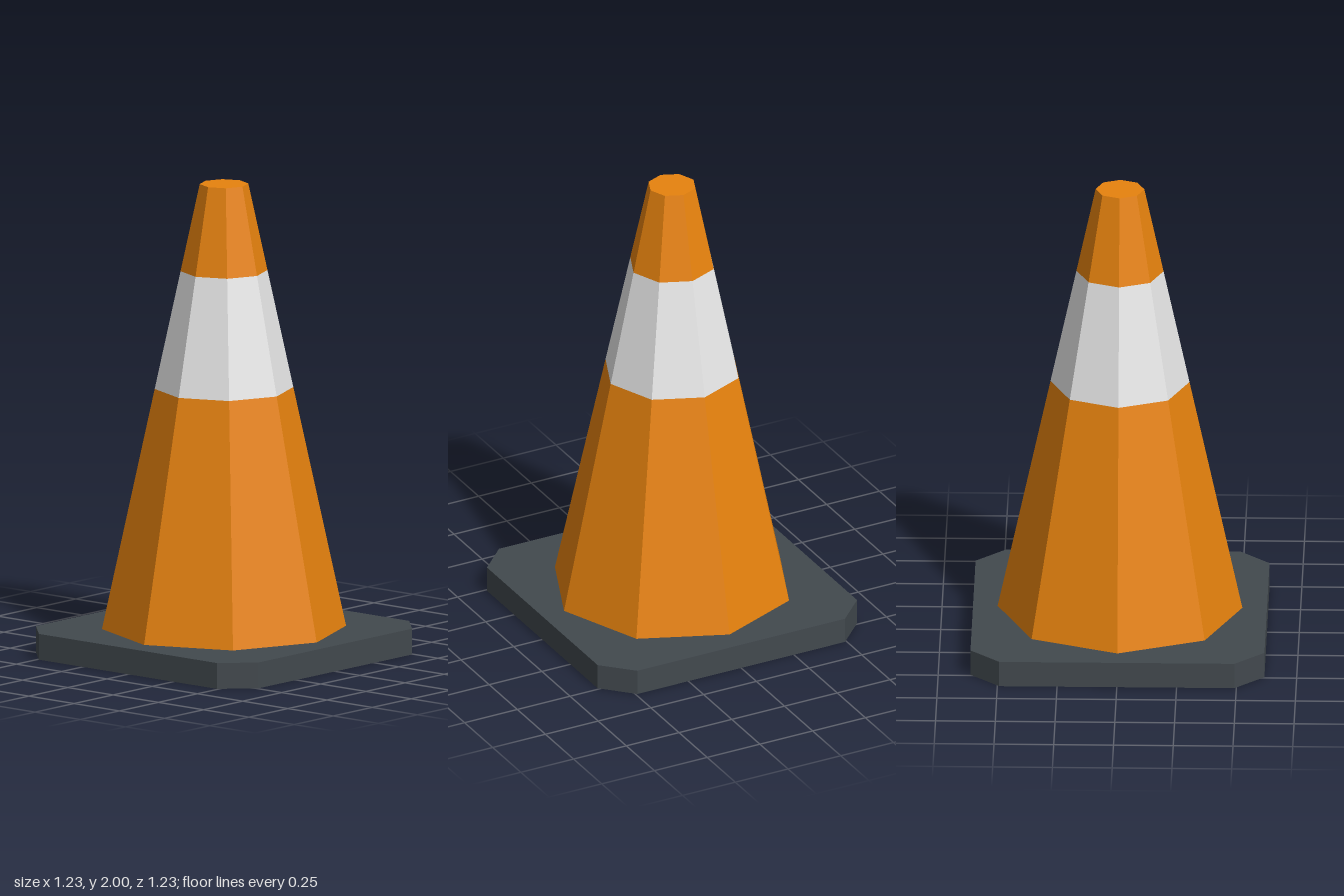
import * as THREE from 'three';

const BASE_TOP = 0.11, TOP = 2, R_BOTTOM = 0.512, R_TOP = 0.102;

// Radius of the tapering cone at a given height
const radiusAt = (y) => THREE.MathUtils.mapLinear(y, BASE_TOP, TOP, R_BOTTOM, R_TOP);

export function createModel() {
  const model = new THREE.Group();
  model.name = 'trafficCone';

  const flat = (name, color) => {
    const m = new THREE.MeshStandardMaterial({ color, flatShading: true });
    m.name = name;
    return m;
  };
  const orange = flat('orange', 0xe8830e);
  const white = flat('white', 0xe8e8e8);
  const darkGrey = flat('darkGrey', 0x42494e);

  // Square base plate with clipped corners
  const h = 0.615, c = 0.492;
  const outline = [[h, -c], [h, c], [c, h], [-c, h], [-h, c], [-h, -c], [-c, -h], [c, -h]];
  const plate = new THREE.ExtrudeGeometry(
    new THREE.Shape(outline.map(([x, y]) => new THREE.Vector2(x, y))),
    { depth: BASE_TOP, bevelEnabled: false },
  ).rotateX(-Math.PI / 2);
  const base = new THREE.Mesh(plate, darkGrey);
  base.name = 'base';
  model.add(base);

  // Eight-sided cone, stacked from coloured bands
  const addBand = (name, y0, y1, material, open) => {
    const geometry = new THREE.CylinderGeometry(radiusAt(y1), radiusAt(y0), y1 - y0, 8, 1, open);
    const band = new THREE.Mesh(geometry, material);
    band.position.y = (y0 + y1) / 2;
    band.name = name;
    model.add(band);
  };
  addBand('lowerCone', BASE_TOP, 1.13, orange, true);
  addBand('reflectiveBand', 1.13, 1.63, white, true);
  addBand('coneTip', 1.63, TOP, orange, false);

  return model;
}
